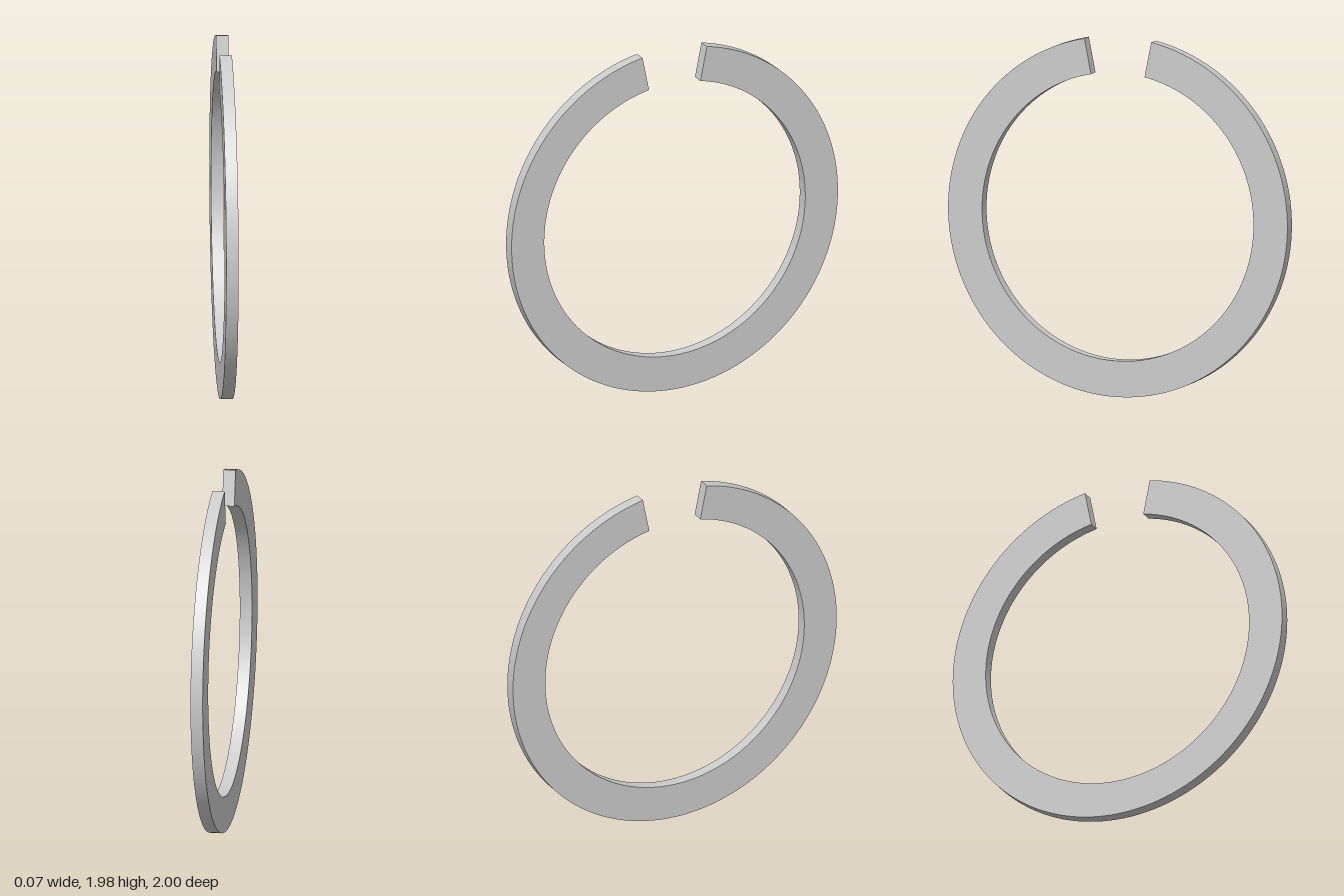
import * as THREE from 'three';
import { toCreasedNormals } from 'three/addons/utils/BufferGeometryUtils.js';

export function createModel() {
  const outerRadius = 1, innerRadius = 0.8, thickness = 0.068;
  const halfGap = Math.asin(0.197); // half the angle of the opening at the top
  const start = Math.PI / 2 + halfGap;
  const end = Math.PI * 2.5 - halfGap;

  // Open ring outline with radial cut ends
  const outline = new THREE.Shape();
  outline.absarc(0, 0, outerRadius, start, end, false);
  outline.absarc(0, 0, innerRadius, end, start, true);
  outline.closePath();

  // Flat band, turned to lie in the y-z plane and stand on the ground
  const band = new THREE.ExtrudeGeometry(outline, {
    depth: thickness, bevelEnabled: false, curveSegments: 120,
  });
  band.translate(0, 0, -thickness / 2);
  band.rotateY(Math.PI / 2);
  band.translate(0, outerRadius, 0);

  const ring = new THREE.Mesh(
    toCreasedNormals(band, Math.PI / 6),
    new THREE.MeshStandardMaterial({ color: 0xcccccc }),
  );
  ring.name = 'splitRing';

  const model = new THREE.Group();
  model.name = 'retainingRing';
  model.add(ring);
  return model;
}
